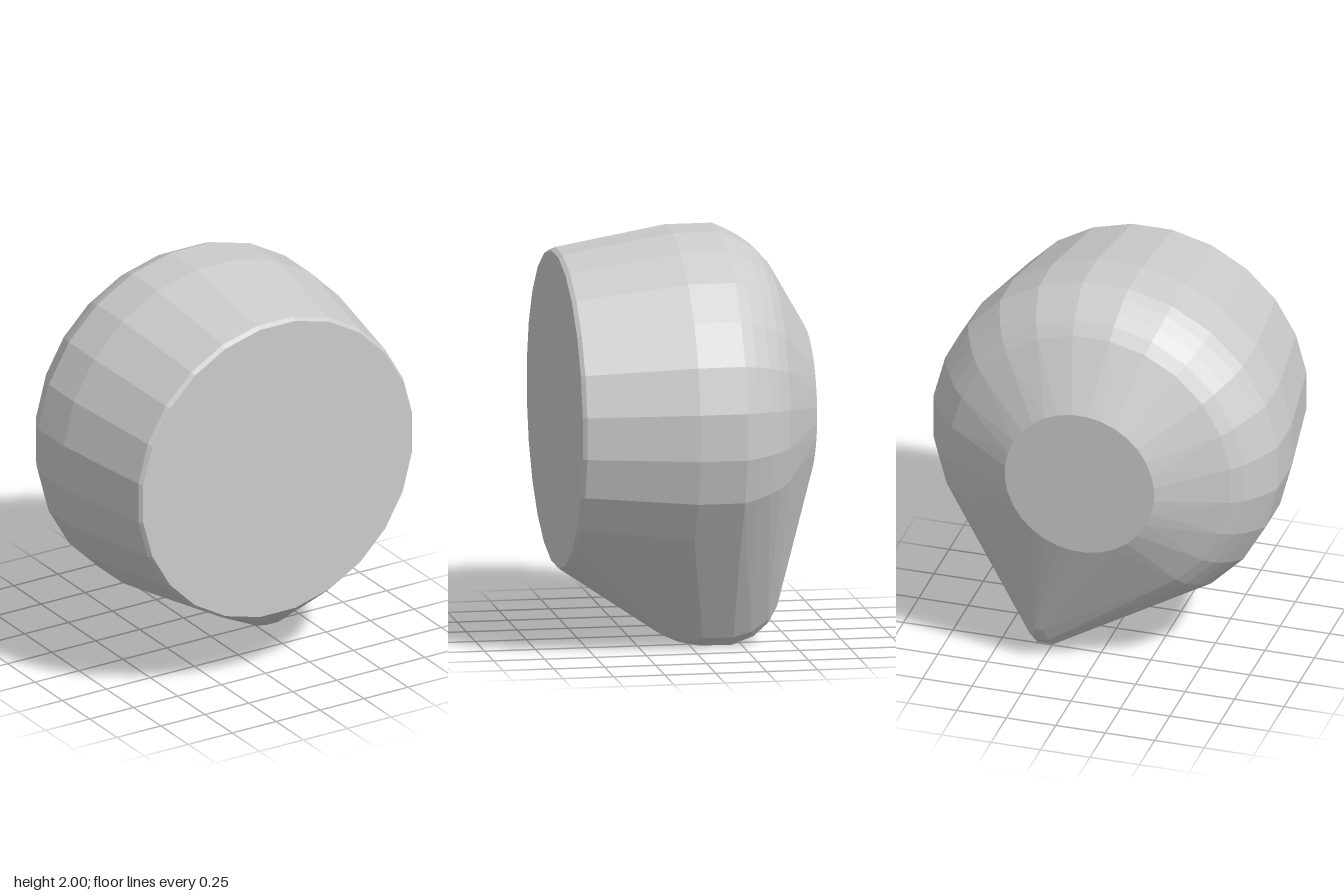
import * as THREE from 'three';
import { ConvexGeometry } from 'three/addons/geometries/ConvexGeometry.js';

// Points of a circle facing z, centred on the body axis
function ring(radius, z, sides = 24) {
  const points = [];
  for (let i = 0; i < sides; i++) {
    const a = ((i + 0.5) / sides) * Math.PI * 2;
    points.push(new THREE.Vector3(Math.cos(a) * radius, 1.13 + Math.sin(a) * radius, z));
  }
  return points;
}

export function createModel() {
  const group = new THREE.Group();
  group.name = 'pointedKnob';
  const points = [];

  // Round body: [radius, z] from the front face to the small back face
  const profile = [
    [0.77, 0.61], [0.785, 0.59], [0.877, 0.05], [0.877, -0.18],
    [0.85, -0.24], [0.81, -0.31], [0.765, -0.37], [0.71, -0.42], [0.378, -0.61],
  ];
  for (const [r, z] of profile) points.push(...ring(r, z, r < 0.5 ? 32 : 24));

  // Rounded tip pointing down and sideways: [z, y, half width]
  const tip = [
    [0.14, 0.06, 0.03], [0.06, 0.025, 0.04], [-0.04, 0.003, 0.04], [-0.2, 0, 0.04],
    [-0.31, 0.04, 0.04], [-0.38, 0.1, 0.035], [-0.43, 0.18, 0.02],
  ];
  for (const [z, y, w] of tip) {
    points.push(new THREE.Vector3(0.265 - w, y, z), new THREE.Vector3(0.265 + w, y, z));
  }

  // Bevelled outer side of the tip: [x, y, z]
  const bevel = [
    [0.34, 0.03, 0.02], [0.37, 0.05, -0.05], [0.37, 0.05, -0.2],
    [0.35, 0.07, -0.29], [0.32, 0.12, -0.38],
  ];
  for (const p of bevel) points.push(new THREE.Vector3(...p));

  // One convex skin stretched over body and tip
  const body = new THREE.Mesh(
    new ConvexGeometry(points),
    new THREE.MeshStandardMaterial({ color: 0xcccccc, flatShading: true })
  );
  body.name = 'body';
  group.add(body);
  return group;
}
